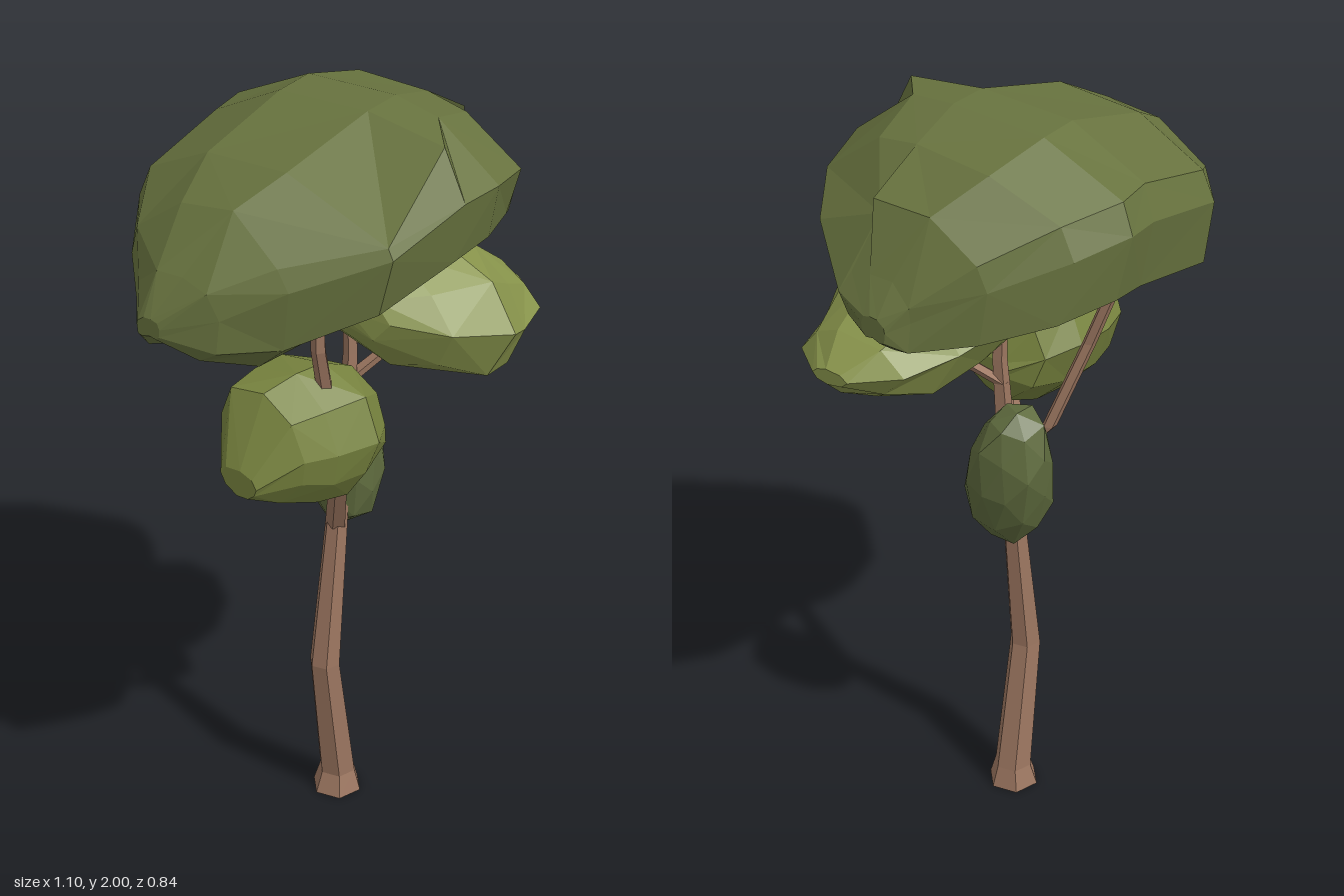
import * as THREE from 'three';

const BARK = 0x9d7761;

// Repeatable noise in -1..1
function noise(x, y, z) {
  const s = Math.sin(x * 12.99 + y * 78.23 + z * 37.72 + 33.5) * 43758.5453;
  return (s - Math.floor(s)) * 2 - 1;
}

function facetedMesh(name, geometry, color) {
  const mesh = new THREE.Mesh(geometry, new THREE.MeshStandardMaterial({ color, flatShading: true }));
  mesh.name = name;
  return mesh;
}

// Skin over a row of closed rings, capped at both ends
function loft(rings) {
  const n = rings[0].length;
  const pos = [], index = [];
  rings.forEach(r => r.forEach(p => pos.push(...p)));
  for (let i = 0; i < rings.length - 1; i++) {
    for (let k = 0; k < n; k++) {
      const a = i * n + k, c = i * n + (k + 1) % n, b = a + n, d = c + n;
      if ((i + k) % 2) index.push(a, b, c, b, d, c);
      else index.push(a, b, d, a, d, c);
    }
  }
  [0, rings.length - 1].forEach((i, end) => {
    const centre = pos.length / 3;
    for (let j = 0; j < 3; j++) pos.push(rings[i].reduce((s, p) => s + p[j], 0) / n);
    for (let k = 0; k < n; k++) {
      const a = i * n + k, b = i * n + (k + 1) % n;
      if (end) index.push(centre, b, a);
      else index.push(centre, a, b);
    }
  });
  const g = new THREE.BufferGeometry();
  g.setAttribute('position', new THREE.Float32BufferAttribute(pos, 3));
  g.setIndex(index);
  g.computeVertexNormals();
  return g;
}

// Limb through points [x, y, z, radius]
function limb(name, sides, points) {
  const rings = points.map(([x, y, z, r]) => Array.from({ length: sides }, (_, k) => {
    const a = (k / sides) * Math.PI * 2 + 0.26;
    return [x + r * Math.cos(a), y, z + r * Math.sin(a)];
  }));
  return facetedMesh(name, loft(rings), BARK);
}

// Leaf mass: a section of [depth, height] points, from the front over the top, stretched over
// stations [x, back z, front z, top y, bottom y, optional front shoulder [z, y]]
function leafMass(name, color, rough, section, stations) {
  const rings = stations.map(([x, zb, zf, yt, yb, shoulder], i) => section.map(([u, v], k) => {
    const inner = i > 0 && i < stations.length - 1 ? rough : 0;
    const [z, y] = shoulder && k === 1 ? shoulder : [(zb + zf) / 2 + (zf - zb) / 2 * u, yb + (yt - yb) * v];
    return [x + inner * noise(i, k, 1), y + 0.4 * inner * noise(i, k, 2), z + 0.4 * inner * noise(i, k, 3)];
  }));
  return facetedMesh(name, loft(rings), color);
}

// Small upright egg of leaves beside the fork
function lowLeafClump() {
  const g = new THREE.IcosahedronGeometry(1, 1);
  const p = g.attributes.position;
  const v = new THREE.Vector3();
  for (let i = 0; i < p.count; i++) {
    v.fromBufferAttribute(p, i);
    const [x, y, z] = [v.x, v.y, v.z].map(c => Math.round(c * 100) / 100 + 0);
    v.multiplyScalar(1 + 0.06 * noise(x, y, z));
    p.setXYZ(i, v.x, v.y, v.z);
  }
  g.scale(0.11, 0.22, 0.115);
  g.computeVertexNormals();
  const mesh = facetedMesh('lowLeafClump', g, 0x5f6b3e);
  mesh.position.set(0.1, 1.033, -0.042);
  mesh.rotation.set(-0.2, 0, -0.12);
  return mesh;
}

export function createModel() {
  const tree = new THREE.Group();
  tree.name = 'tree';

  // Trunk with a flared foot and a bend
  tree.add(limb('trunk', 6, [
    [0.038, 0, 0, 0.069], [0.04, 0.06, 0, 0.051], [-0.016, 0.44, 0.002, 0.042], [0.025, 0.88, 0.01, 0.03],
  ]));

  // Branches reaching into the leaves
  const branches = new THREE.Group();
  branches.name = 'branches';
  branches.add(
    limb('centralBranch', 5, [[0.025, 0.84, 0.01, 0.029], [0.045, 1.1, 0.02, 0.026], [0.066, 1.33, 0.02, 0.02], [0.07, 1.72, 0, 0.012]]),
    limb('rightBranch', 5, [[0.02, 0.85, 0.01, 0.028], [-0.1, 1.12, 0.12, 0.024], [-0.19, 1.36, 0.15, 0.021], [-0.235, 1.5, 0.165, 0.019], [-0.245, 1.68, 0.17, 0.014]]),
    limb('backBranch', 5, [[0.04, 1.03, 0.01, 0.02], [0.005, 1.15, -0.09, 0.019], [-0.06, 1.38, -0.16, 0.018], [-0.08, 1.54, -0.215, 0.017], [-0.07, 1.68, -0.235, 0.014]]),
    limb('leftBranch', 5, [[0.06, 1.26, 0.02, 0.022], [0.16, 1.36, 0.1, 0.02], [0.28, 1.5, 0.2, 0.018], [0.295, 1.72, 0.21, 0.012]]),
  );
  tree.add(branches);

  // Broad crown, slightly hollow underneath
  tree.add(leafMass('crown', 0x68733f, 0.016,
    [[1, 0.6], [0.8, 0.9], [0.25, 0.99], [-0.38, 0.97], [-0.91, 0.72], [-1, 0.5], [-0.92, 0.05],
      [-0.55, 0], [0.05, 0.12], [0.62, 0.06], [0.92, 0.22]],
    [
      [-0.55, -0.11, -0.04, 1.63, 1.58],
      [-0.48, -0.18, 0.08, 1.73, 1.52],
      [-0.38, -0.27, 0.21, 1.86, 1.49, [0.18, 1.77]],
      [-0.24, -0.38, 0.37, 1.93, 1.56, [0.355, 1.81]],
      [0.02, -0.4, 0.4, 2, 1.62, [0.33, 1.97]],
      [0.13, -0.42, 0.4, 2, 1.635, [0.23, 1.98]],
      [0.29, -0.365, 0.34, 1.965, 1.63, [0.19, 1.94]],
      [0.42, -0.24, 0.26, 1.88, 1.59, [0.06, 1.85]],
      [0.51, -0.1, 0.11, 1.74, 1.575],
      [0.55, -0.05, 0.02, 1.66, 1.6],
    ]));

  // Light clump, sloping down and forward
  tree.add(leafMass('leftLeafClump', 0x89954c, 0.014,
    [[1, 0.45], [0.72, 0.78], [0.2, 1], [-0.6, 0.95], [-1, 0.62], [-0.65, 0.22], [0.15, 0], [0.75, 0.12]],
    [
      [-0.08, 0, 0.13, 1.57, 1.5],
      [-0.05, -0.05, 0.23, 1.61, 1.44],
      [0.05, -0.11, 0.35, 1.64, 1.35],
      [0.18, -0.11, 0.42, 1.65, 1.295],
      [0.31, -0.06, 0.38, 1.59, 1.27],
      [0.43, 0.01, 0.33, 1.5, 1.335],
      [0.51, 0.11, 0.22, 1.44, 1.4],
    ]));

  // Blocky clump on the other side
  tree.add(leafMass('rightLeafClump', 0x78843f, 0.012,
    [[1, 0.5], [0.75, 0.82], [0.1, 1], [-0.7, 0.95], [-1, 0.65], [-0.75, 0.28], [-0.1, 0], [0.5, 0.03], [0.87, 0.25]],
    [
      [-0.435, 0.03, 0.14, 1.24, 1.17],
      [-0.34, -0.05, 0.21, 1.41, 1.12],
      [-0.25, -0.07, 0.245, 1.42, 1.085],
      [-0.15, -0.07, 0.27, 1.42, 1.08],
      [-0.05, -0.03, 0.23, 1.37, 1.13],
      [0, 0.05, 0.16, 1.27, 1.21],
    ]));

  tree.add(lowLeafClump());
  return tree;
}
